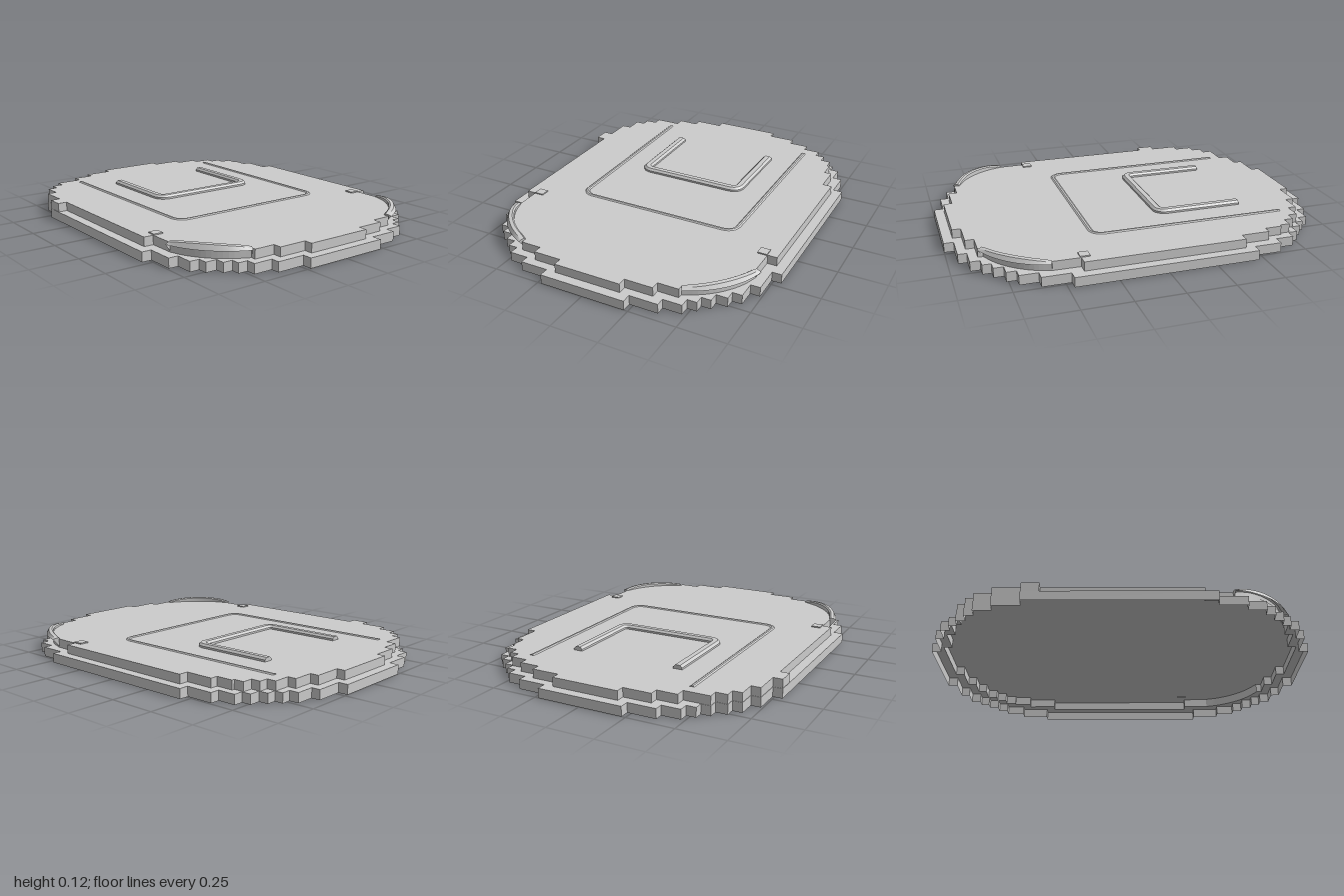
import * as THREE from 'three';
import { toCreasedNormals } from 'three/addons/utils/BufferGeometryUtils.js';

const LEDGE = 0.05, TOP = 0.097;
const material = new THREE.MeshStandardMaterial({ color: 0xcccccc, side: THREE.DoubleSide });

// Staircase of [half width, z] steps, from the centre line out to the side
function stairs(steps) {
  const pts = [];
  steps.forEach(([x, z], i) => {
    pts.push([x, z]);
    if (i < steps.length - 1) pts.push([x, steps[i + 1][1]]);
  });
  return pts;
}
const flip = (pts, sx, sz) => pts.map(([x, z]) => [x * sx, z * sz]);

// Closed loop from four quarters, each listed from centre line to side
function ring(frontL, backL, backR, frontR) {
  return [
    ...flip(frontL, 1, 1), ...flip(backL, 1, -1).reverse(),
    ...flip(backR, -1, -1), ...flip(frontR, -1, 1).reverse(),
  ];
}

function flatPlate(loop, y, hole) {
  const v = ([x, z]) => new THREE.Vector2(x, -z);
  const shape = new THREE.Shape(loop.map(v));
  if (hole) shape.holes.push(new THREE.Path(hole.map(v)));
  return new THREE.ShapeGeometry(shape).rotateX(-Math.PI / 2).translate(0, y, 0);
}

function wall(loop, y0, y1) {
  const pos = [];
  loop.forEach(([ax, az], i) => {
    const [bx, bz] = loop[(i + 1) % loop.length];
    pos.push(ax, y0, az, bx, y1, bz, ax, y1, az, ax, y0, az, bx, y0, bz, bx, y1, bz);
  });
  // the loop runs front -> +x -> back, so its outside is on the right-hand side
  const g = new THREE.BufferGeometry();
  g.setAttribute('position', new THREE.Float32BufferAttribute(pos, 3));
  g.computeVertexNormals();
  return g;
}

// Sweep a section of [sideways offset, y] points along a path on the ground plane
function sweep(path, section) {
  const pos = [], index = [], n = section(0).length, last = path.length - 1;
  path.forEach(([x, z], i) => {
    const a = path[Math.max(i - 1, 0)], b = path[Math.min(i + 1, last)];
    const dx = b[0] - a[0], dz = b[1] - a[1], len = Math.hypot(dx, dz);
    for (const [o, y] of section(i / last)) pos.push(x - (dz / len) * o, y, z + (dx / len) * o);
  });
  for (let i = 0; i < last; i++) {
    for (let j = 0; j < n - 1; j++) {
      const p = i * n + j, q = p + n;
      index.push(p, p + 1, q, q, p + 1, q + 1);
    }
  }
  for (let j = 1; j < n - 1; j++) {
    index.push(0, j + 1, j, last * n, last * n + j, last * n + j + 1);
  }
  const g = new THREE.BufferGeometry();
  g.setAttribute('position', new THREE.Float32BufferAttribute(pos, 3));
  g.setIndex(index);
  return toCreasedNormals(g, 0.5);
}

// U-shaped path, open to the back, with rounded front corners
function uPath(halfWidth, back, front, r) {
  const side = [[halfWidth, back]];
  for (let i = 0; i <= 6; i++) {
    const a = (i / 6) * Math.PI / 2;
    side.push([halfWidth - r + r * Math.cos(a), front - r + r * Math.sin(a)]);
  }
  return [...flip(side, -1, 1), ...side.reverse()];
}

export function createModel() {
  const model = new THREE.Group();
  const add = (name, geometry, parent = model) => {
    const mesh = new THREE.Mesh(geometry, material);
    mesh.name = name;
    parent.add(mesh);
    return mesh;
  };

  // Curved line that replaces the steps at the front corners
  const arc = new THREE.CatmullRomCurve3([
    [0.44, 0.835], [0.53, 0.785], [0.605, 0.715], [0.66, 0.63], [0.688, 0.55],
  ].map(([x, z]) => new THREE.Vector3(x, 0, z))).getPoints(16).map(p => [p.x, p.z]);

  // Outlines of the two tiers
  const lowerQuarter = stairs([[0.23, 1], [0.38, 0.95], [0.48, 0.905], [0.53, 0.855],
    [0.58, 0.81], [0.64, 0.76], [0.69, 0.71], [0.74, 0.615], [0.79, 0.47]]);
  const lower = ring(lowerQuarter, lowerQuarter, lowerQuarter, lowerQuarter);

  const tip = [[0.18, 0.95], [0.33, 0.905], [0.44, 0.86]];
  const front = [...stairs(tip), ...arc, [0.69, 0.41], [0.74, 0.41]];
  const backLeft = stairs([...tip, [0.53, 0.815], [0.58, 0.765], [0.635, 0.715],
    [0.65, 0.66], [0.69, 0.57], [0.74, 0.42]]);
  // this corner rises flush with the lower tier
  const backRight = [...stairs([...tip, [0.578, 0.808], [0.638, 0.758], [0.688, 0.708],
    [0.738, 0.613], [0.788, 0.468]]), [0.788, 0.38], [0.74, 0.38]];
  const upper = ring(front, backLeft, backRight, front);

  // Hollow stepped shell, open underneath
  const shell = new THREE.Group();
  shell.name = 'steppedShell';
  model.add(shell);
  add('lowerWall', wall(lower, 0, LEDGE), shell);
  add('ledge', flatPlate(lower, LEDGE, upper), shell);
  add('upperWall', wall(upper, LEDGE, TOP), shell);
  add('topPlate', flatPlate(upper, TOP), shell);

  // Raised U-shaped ridge with bevelled shoulders
  add('innerRidge', sweep(uPath(0.29, -0.58, -0.127, 0.04), () => [
    [-0.025, TOP], [-0.025, 0.107], [-0.013, 0.118], [0.013, 0.118], [0.025, 0.107], [0.025, TOP],
  ]));

  // Thin, low rail around it
  add('outerRail', sweep(uPath(0.455, -0.75, 0.285, 0.06), () => [
    [-0.012, TOP], [-0.005, 0.102], [0.005, 0.102], [0.012, TOP],
  ]));

  // Curved, arched bumpers on the front corners and small square studs
  for (const [side, sx, rise] of [['left', 1, 0.021], ['right', -1, 0.027]]) {
    const path = flip(arc, sx, 1);
    add(side + 'FrontBumper', sweep(path, t => {
      const y = 0.1 + rise * Math.pow(Math.sin(Math.PI * (0.04 + 0.92 * t)), 0.6) - 0.002;
      return [[-0.004, LEDGE], [-0.004, y - 0.006], [0.004, y], [0.022, y - 0.003], [0.034, TOP - 0.002]]
        .map(([o, h]) => [o * -sx * -1, h]);
    }));
    add(side + 'Stud', new THREE.BoxGeometry(0.05, 0.01, 0.05)).position.set(0.663 * sx, TOP + 0.001, 0.39);
  }

  return model;
}
